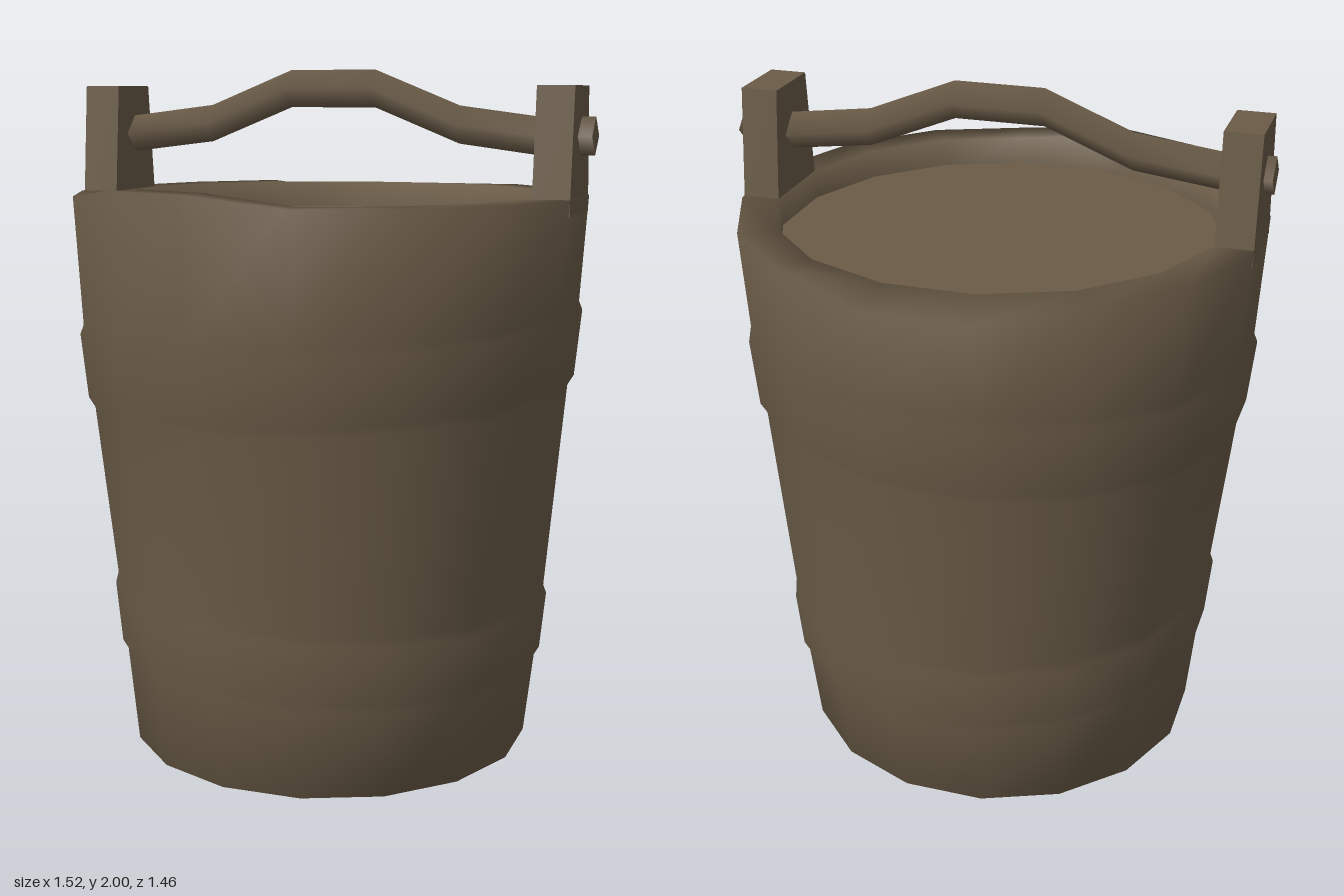
import * as THREE from 'three';

const SIDES = 16;
const CENTRE_X = -0.01;

// Skin a list of equal-length vertex rings with smooth normals
function loft(rings) {
  const n = rings[0].length;
  const index = [];
  for (let r = 0; r < rings.length - 1; r++) {
    for (let s = 0; s < n; s++) {
      const a = r * n + s, c = r * n + (s + 1) % n;
      index.push(a, a + n, c, c, a + n, c + n);
    }
  }
  const geometry = new THREE.BufferGeometry();
  geometry.setAttribute('position', new THREE.Float32BufferAttribute(rings.flat(2), 3));
  geometry.setIndex(index);
  geometry.computeVertexNormals();
  return geometry;
}

// One sixteen-sided ring; tilt raises it along x and z, warp shifts single corners
function staveRing(r, y, tiltX = 0, tiltZ = 0, warp = () => 0) {
  return Array.from({ length: SIDES }, (_, s) => {
    const a = (s + 0.5) * Math.PI * 2 / SIDES;
    const c = Math.cos(a), d = Math.sin(a);
    return [CENTRE_X + r * c, y + tiltX * c + tiltZ * d + warp(s), r * d];
  });
}

export function createModel() {
  const model = new THREE.Group();
  const wood = new THREE.MeshStandardMaterial({ color: 0x6a5b47 });
  wood.name = 'brown wood';

  const add = (name, geometry) => {
    const mesh = new THREE.Mesh(geometry, wood);
    mesh.name = name;
    model.add(mesh);
    return mesh;
  };

  // Worn rim: two corners stand proud at the front, two are chipped at the back
  const raised = s => (s === 4 || s === 5 ? 0.03 : 0);
  const worn = s => (s === 11 || s === 12 ? -0.04 : raised(s));

  // Bucket wall with two crooked hoops, rim and inner wall
  add('bucketBody', loft([
    staveRing(0, 0),
    staveRing(0.49, 0),
    staveRing(0.592, 0.03),
    staveRing(0.62, 0.295, -0.025),
    staveRing(0.635, 0.32, -0.025),
    staveRing(0.652, 0.495, -0.03),
    staveRing(0.643, 0.52, -0.03),
    staveRing(0.698, 1.075, 0.02, -0.02),
    staveRing(0.716, 1.105, 0.02, -0.02),
    staveRing(0.735, 1.295, 0.02, -0.03),
    staveRing(0.725, 1.32, 0.02, -0.03),
    staveRing(0.745, 1.65, 0, 0, worn),
    staveRing(0.636, 1.65, 0, 0, raised),
    staveRing(0.63, 1.54),
  ]));

  // Flat surface filling the bucket just below the rim
  add('fillSurface', loft([staveRing(0.635, 1.57), staveRing(0, 1.57)]));

  // Tapered ears that hold the handle
  for (const side of [-1, 1]) {
    const ear = new THREE.BoxGeometry(0.105, 0.35, 0.2);
    const p = ear.attributes.position;
    for (let i = 0; i < p.count; i++) {
      if (p.getY(i) < 0) p.setZ(i, p.getZ(i) * 1.35);
    }
    ear.computeVertexNormals();
    add(side > 0 ? 'leftEar' : 'rightEar', ear)
      .position.set(CENTRE_X + side * 0.678, 1.78, 0);
  }

  // Arched handle with a diamond section, its ends passing through the ears
  const path = [
    [-0.765, 1.818], [-0.64, 1.815], [-0.38, 1.847], [-0.13, 1.947],
    [0.125, 1.947], [0.375, 1.847], [0.62, 1.815], [0.76, 1.818],
  ];
  const diamond = ([x, y], r) => [0, 1, 2, 3].map(k => {
    const a = k * Math.PI / 2;
    return [x, y + r * Math.cos(a), -r * Math.sin(a) - 0.004];
  });
  const first = path[0], last = path[path.length - 1];
  const R = 0.053;
  add('handle', loft([
    diamond(first, 0), diamond(first, R),
    ...path.map(p => diamond(p, R)),
    diamond(last, R), diamond(last, 0),
  ]));

  return model;
}
